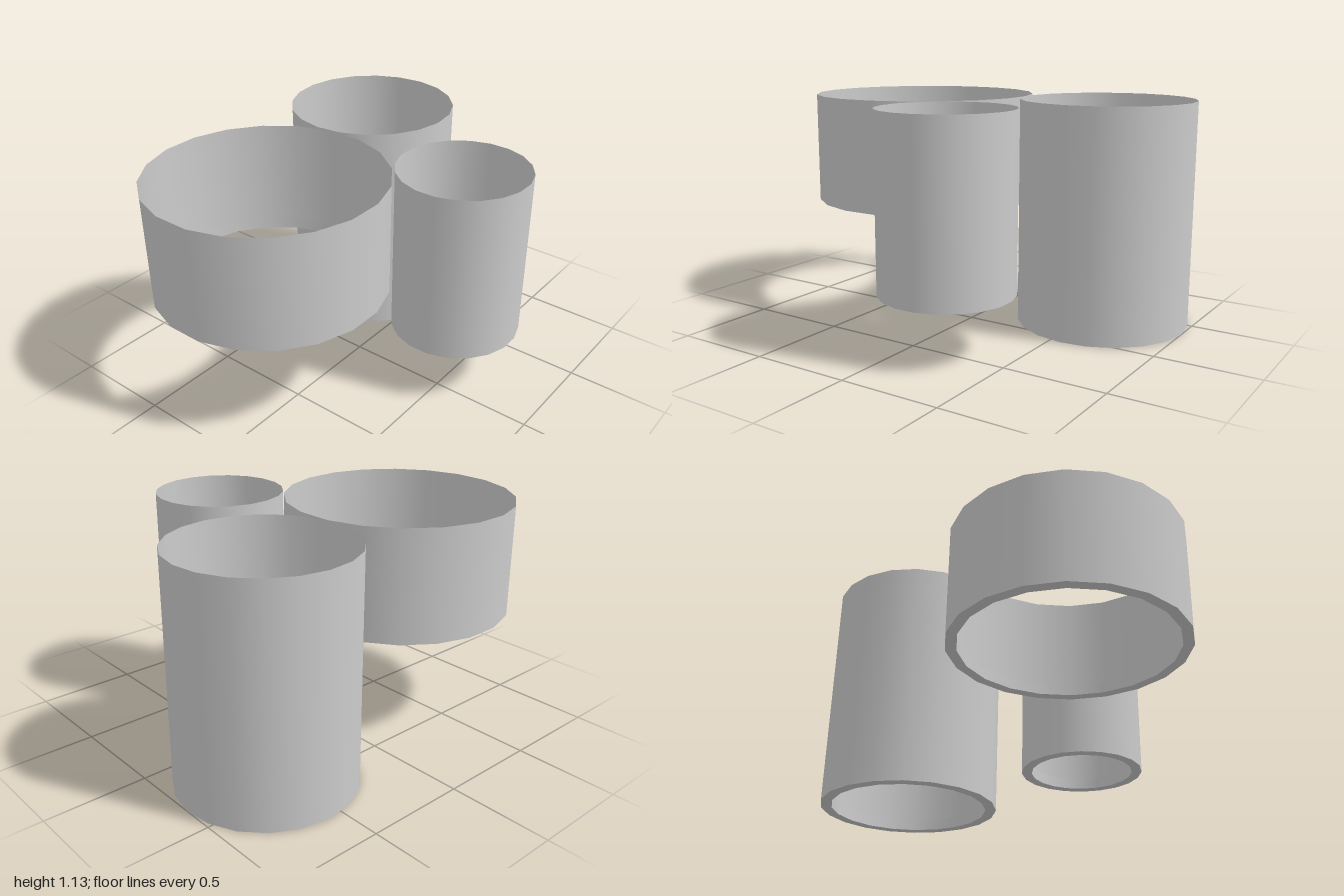
import * as THREE from 'three';

const TOP = 1.13, LIP_WIDTH = 0.053, LIP_HEIGHT = 0.055, SIDES = 20;

const material = new THREE.MeshStandardMaterial({ color: 0xcccccc, side: THREE.DoubleSide });

// One sheet of revolution between two [radius, y] points
function band(name, from, to, turn) {
  const points = [new THREE.Vector2(...from), new THREE.Vector2(...to)];
  const mesh = new THREE.Mesh(new THREE.LatheGeometry(points, SIDES, turn), material);
  mesh.name = name;
  return mesh;
}

// Thin open drum with an inward lip at its lower rim
function createShade({ name, radius, x, z, bottom, turn }) {
  const shade = new THREE.Group();
  shade.name = name;
  const inner = radius - LIP_WIDTH;
  const phi = THREE.MathUtils.degToRad(turn);
  shade.add(
    band('wall', [radius, 0], [radius, TOP - bottom], phi),
    band('bottomRim', [inner, 0], [radius, 0], phi),
    band('innerLip', [inner, LIP_HEIGHT], [inner, 0], phi),
  );
  shade.position.set(x, bottom, z);
  return shade;
}

export function createModel() {
  const model = new THREE.Group();
  model.name = 'shadeCluster';
  // Three drums of different width and length, level at the top
  const shades = [
    { name: 'wideShade', radius: 0.575, x: -0.432, z: -0.2, bottom: 0.57, turn: 9 },
    { name: 'tallShade', radius: 0.433, x: 0.567, z: -0.36, bottom: 0, turn: -2 },
    { name: 'narrowShade', radius: 0.322, x: 0.177, z: 0.47, bottom: 0.285, turn: 9 },
  ];
  for (const shade of shades) model.add(createShade(shade));
  return model;
}
